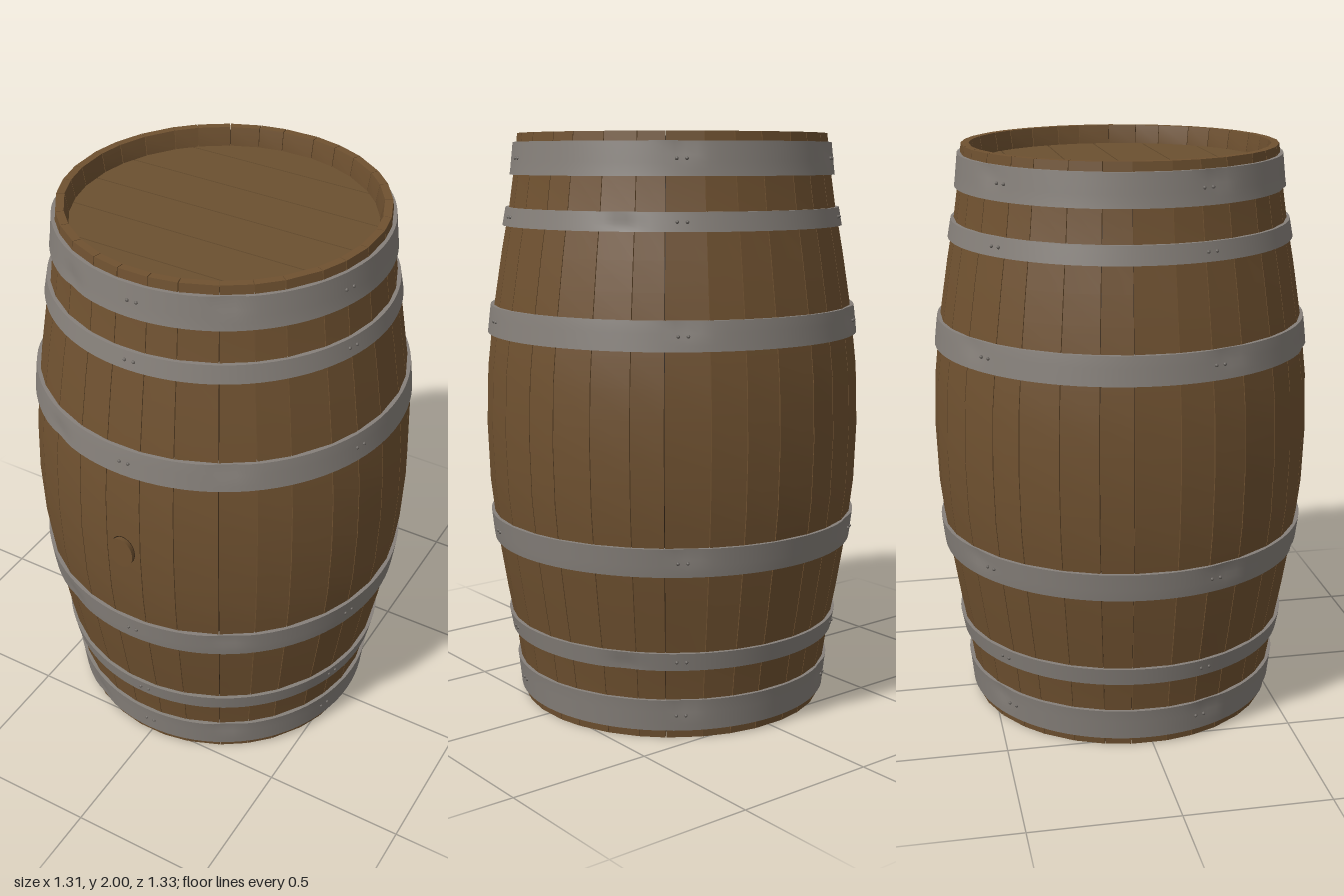
import * as THREE from 'three';
import { toCreasedNormals, mergeGeometries } from 'three/addons/utils/BufferGeometryUtils.js';

const STAVES = 32, CENTER_Z = -0.012;

// Belly radius against distance from mid height, the same above and below
const bulge = [[0, 0.661], [0.2, 0.654], [0.4, 0.631], [0.6, 0.599], [0.75, 0.571], [0.88, 0.552], [1, 0.539]];
function radius(y) {
  const d = Math.min(1, Math.abs(y - 1));
  let i = 0;
  while (i < bulge.length - 2 && d > bulge[i + 1][0]) i++;
  const [d0, r0] = bulge[i], [d1, r1] = bulge[i + 1];
  return THREE.MathUtils.lerp(r0, r1, (d - d0) / (d1 - d0));
}

// Strip of quads between two curves, facing the viewer when a is on the left of b going up
function strip(a, b) {
  const pos = [], idx = [];
  a.forEach((p, i) => {
    pos.push(...p, ...b[i]);
    if (i) {
      const k = 2 * i;
      idx.push(k - 2, k - 1, k, k - 1, k + 1, k);
    }
  });
  const g = new THREE.BufferGeometry();
  g.setAttribute('position', new THREE.Float32BufferAttribute(pos, 3));
  g.setIndex(idx);
  g.computeVertexNormals();
  return g;
}

// One stave: outer face, inner face, two sides and two bevelled ends
function staveGeometry(a0, a1) {
  const outer = [], inner = [];
  for (const y of [0, 0.07, 0.12, 0.25, 0.4, 0.5, 0.6, 0.7, 0.8, 0.9, 1, 1.1, 1.2, 1.3, 1.4, 1.5, 1.6, 1.75, 1.88, 1.93, 2]) {
    const r = radius(y);
    outer.push([r, y]);
    inner.push([y === 0 || y === 2 ? 0.512 : r - 0.046, y]);
  }
  const at = (list, a) => list.map(([r, y]) => [r * Math.sin(a), y, r * Math.cos(a)]);
  const o0 = at(outer, a0), o1 = at(outer, a1), i0 = at(inner, a0), i1 = at(inner, a1);
  const n = outer.length - 1;
  return mergeGeometries([
    strip(o0, o1), strip(i1, i0), strip(i0, o0), strip(o1, i1),
    strip([o0[n], i0[n]], [o1[n], i1[n]]),
    strip([i0[0], o0[0]], [i1[0], o1[0]]),
  ]);
}

// Iron band following the belly, with a few shallow dents
function hoopGeometry(y0, y1, dents) {
  const pts = [[radius(y0) - 0.01, y0]];
  for (let i = 0; i <= 5; i++) {
    const y = THREE.MathUtils.lerp(y0, y1, i / 5);
    pts.push([radius(y) + 0.011, y]);
  }
  pts.push([radius(y1) - 0.01, y1]);
  const g = new THREE.LatheGeometry(pts.map(p => new THREE.Vector2(...p)), 96);
  const p = g.attributes.position;
  for (let i = 0; i < p.count; i++) {
    const x = p.getX(i), y = p.getY(i), z = p.getZ(i), a = Math.atan2(x, z);
    let push = 0;
    for (const [angle, h] of dents) {
      const da = Math.atan2(Math.sin(a - angle), Math.cos(a - angle)) / 0.07;
      const dy = (y - THREE.MathUtils.lerp(y0, y1, h)) / 0.04;
      push += 0.008 * Math.exp(-da * da - dy * dy);
    }
    const r = Math.hypot(x, z);
    p.setXYZ(i, x * (r - push) / r, y, z * (r - push) / r);
  }
  return toCreasedNormals(g, 0.7);
}

// Head plank: slice of a disc between two parallel lines
function plankGeometry(s0, s1, R, thick) {
  const shape = new THREE.Shape(), steps = 10, edge = [];
  for (let i = 0; i <= steps; i++) {
    const s = THREE.MathUtils.lerp(s0, s1, i / steps);
    edge.push([Math.sqrt(Math.max(0, R * R - s * s)), s]);
  }
  const pts = edge.concat(edge.slice().reverse().map(([x, s]) => [-x, s]));
  shape.setFromPoints(pts.map(p => new THREE.Vector2(...p)));
  return new THREE.ExtrudeGeometry(shape, { depth: thick, bevelEnabled: false }).rotateX(-Math.PI / 2);
}

export function createModel() {
  const wood = new THREE.MeshStandardMaterial({ name: 'oak', color: 0x6f5130 });
  const headWood = new THREE.MeshStandardMaterial({ name: 'headOak', color: 0x6b5030 });
  const seam = new THREE.MeshStandardMaterial({ name: 'darkSeam', color: 0x2c1f12, side: THREE.DoubleSide });
  const iron = new THREE.MeshStandardMaterial({ name: 'iron', color: 0x86807a });
  const rivetIron = new THREE.MeshStandardMaterial({ name: 'rivetIron', color: 0x69645f });

  const model = new THREE.Group();
  model.name = 'barrel';
  const add = (name, geometry, material, parent) => {
    const mesh = new THREE.Mesh(geometry, material);
    mesh.name = name;
    parent.add(mesh);
    return mesh;
  };
  const group = name => {
    const g = new THREE.Group();
    g.name = name;
    g.position.z = CENTER_Z;
    model.add(g);
    return g;
  };

  // Staves of slightly uneven width
  const staves = group('staves');
  const edgeAngle = k => {
    const i = k % STAVES;
    return (k - 0.5) / STAVES * Math.PI * 2 + (i > 1 ? 0.018 * Math.sin(i * 2.3) : 0);
  };
  for (let k = 0; k < STAVES; k++) {
    add('stave', staveGeometry(edgeAngle(k) + 0.0022, edgeAngle(k + 1) - 0.0022), wood, staves);
  }
  // Dark lining seen only through the seams
  const lining = [];
  for (let i = 0; i <= 16; i++) {
    const y = 0.015 + 1.97 * i / 16;
    lining.push(new THREE.Vector2(radius(y) - 0.018, y));
  }
  add('seamLining', new THREE.LatheGeometry(lining, 64), seam, staves);

  // Planked heads, set in from both ends
  for (const [name, y] of [['topHead', 1.895], ['bottomHead', 0.065]]) {
    const head = group(name);
    head.position.y = y;
    const cuts = [-0.512, -0.352, -0.172, 0.008, 0.183, 0.368, 0.512];
    for (let i = 0; i < 6; i++) {
      add('headPlank', plankGeometry(cuts[i] + 0.0025, cuts[i + 1] - 0.0025, 0.512, 0.04), headWood, head);
    }
  }

  // Hoops, mirrored above and below the middle, each with five pairs of rivets
  const hoops = group('hoops');
  const rivet = new THREE.SphereGeometry(0.006, 8, 6);
  const bands = [[0.03, 0.14], [0.25, 0.312], [0.585, 0.682]];
  bands.forEach(([low, high], b) => {
    for (const [y0, y1] of [[low, high], [2 - high, 2 - low]]) {
      const dents = b === 1 ? [[2.2, 0.2]] : [[-0.45, 0.2], [-1.18, 0.8], [0.55, 0.9], [2.55, 0.9], [-2.6, 0.8]];
      add('hoop', hoopGeometry(y0, y1, dents), iron, hoops);
      const y = (y0 + y1) / 2, r = radius(y) + 0.011;
      for (let i = 0; i < 5; i++) {
        for (const side of [-1, 1]) {
          const a = i / 5 * Math.PI * 2 + side * 0.016 / r + 0.015;
          add('rivet', rivet, rivetIron, hoops).position.set(r * Math.sin(a), y, r * Math.cos(a));
        }
      }
    }
  });

  // Flared oval bung on the front, with a dark outline where it enters the stave
  const bung = add('bung', new THREE.CylinderGeometry(0.046, 0.038, 0.06, 24).rotateX(Math.PI / 2), wood, model);
  bung.scale.y = 1.26;
  bung.position.set(0, 1.004, 0.635);
  const ring = add('bungSeam', new THREE.RingGeometry(0.036, 0.046, 24), seam, model);
  ring.scale.y = 1.26;
  ring.position.set(0, 1.004, 0.6485);

  return model;
}
